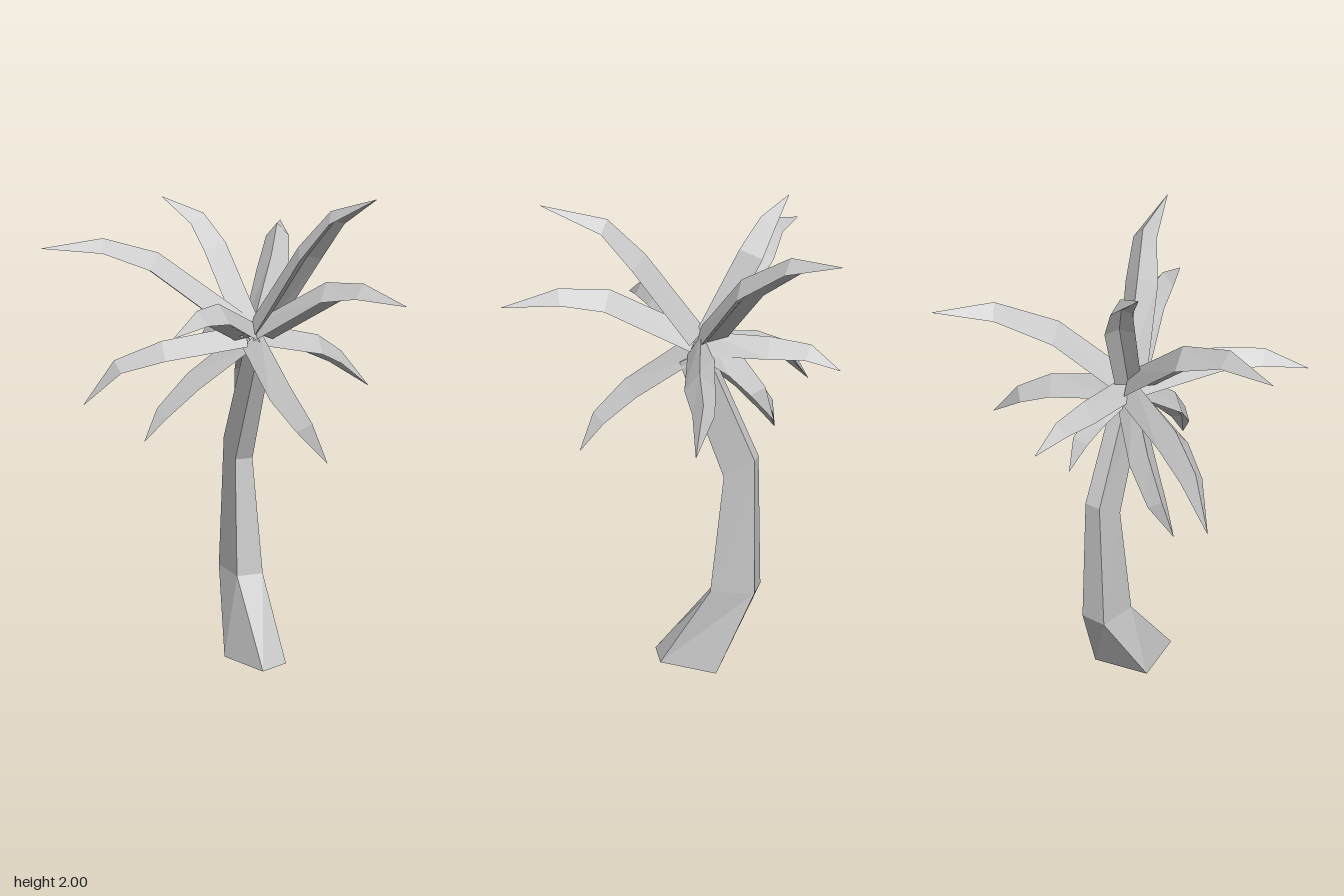
import * as THREE from 'three';

const material = new THREE.MeshStandardMaterial({ color: 0xcccccc, flatShading: true });

// Faceted skin through rings of points (counter-clockwise about the path), capped at both ends
function loft(rings) {
  const pos = [];
  const tri = (a, b, c) => pos.push(...a, ...b, ...c);
  const n = rings[0].length;
  for (let r = 0; r < rings.length - 1; r++) {
    const a = rings[r], b = rings[r + 1];
    for (let i = 0; i < n; i++) {
      const j = (i + 1) % n;
      tri(a[i], a[j], b[j]);
      tri(a[i], b[j], b[i]);
    }
  }
  const first = rings[0], last = rings[rings.length - 1];
  for (let i = 1; i < n - 1; i++) {
    tri(first[0], first[i + 1], first[i]);
    tri(last[0], last[i], last[i + 1]);
  }
  const geometry = new THREE.BufferGeometry();
  geometry.setAttribute('position', new THREE.Float32BufferAttribute(pos, 3));
  geometry.computeVertexNormals();
  return geometry;
}

// Frond: ridged section, hollowed below, from a broad root over two bends to a pointed tip
function frond(bends) {
  const path = bends.map(p => new THREE.Vector3(...p));
  path.unshift(new THREE.Vector3(0.11, 1.42, -0.05).lerp(path[0], 0.08));
  const chord = path[3].clone().sub(path[0]);
  const width = 0.02 + 0.06 * chord.length();
  const side = new THREE.Vector3(-chord.z, 0, chord.x).normalize();
  const halfWidths = [0.9, 1, 0.72, 0.01];
  const heights = [0.05, 0.046, 0.034, 0.001];
  const rings = path.map((p, i) => {
    const dir = path[Math.min(i + 1, 3)].clone().sub(path[Math.max(i - 1, 0)]).normalize();
    const up = side.clone().cross(dir).normalize();
    const at = (s, h) => p.clone().addScaledVector(side, s * width * halfWidths[i])
      .addScaledVector(up, h * heights[i]).toArray();
    return [at(0, -0.4), at(-1, -0.9), at(0, 0.9), at(1, -0.9)];
  });
  return loft(rings);
}

export function createModel() {
  const model = new THREE.Group();
  const add = (geometry, name, parent) => {
    const mesh = new THREE.Mesh(geometry, material);
    mesh.name = name;
    parent.add(mesh);
  };

  // Leaning four-sided trunk
  add(loft([
    [[0.05, 0, 0.17], [0.19, 0, 0.11], [0.24, 0, -0.15], [-0.01, 0, -0.09]],
    [[0.06, 0.35, -0.11], [0.185, 0.35, -0.11], [0.18, 0.36, -0.3], [0.06, 0.36, -0.3]],
    [[0.075, 0.86, -0.16], [0.158, 0.86, -0.16], [0.155, 0.94, -0.29], [0.08, 0.94, -0.29]],
    [[0.09, 1.34, 0.03], [0.155, 1.34, 0.03], [0.155, 1.4, -0.08], [0.09, 1.4, -0.08]],
  ]), 'trunk', model);

  // Two bends and the tip of each frond
  const fronds = [
    [[0.23, 1.77, 0.18], [0.30, 1.92, 0.3], [0.36, 2.0, 0.54]],
    [[0.28, 1.62, 0.3], [0.34, 1.635, 0.48], [0.41, 1.59, 0.7]],
    [[0.31, 1.7, -0.28], [0.44, 1.83, -0.49], [0.56, 1.86, -0.7]],
    [[0.45, 1.35, -0.13], [0.59, 1.28, -0.18], [0.75, 1.14, -0.19]],
    [[0.11, 1.21, 0.25], [0.15, 1.08, 0.38], [0.2, 0.94, 0.45]],
    [[-0.17, 1.54, 0.19], [-0.31, 1.54, 0.31], [-0.46, 1.48, 0.42]],
    [[-0.29, 1.73, -0.19], [-0.51, 1.8, -0.21], [-0.75, 1.79, -0.28]],
    [[-0.24, 1.35, -0.2], [-0.41, 1.28, -0.3], [-0.54, 1.11, -0.38]],
    [[-0.1, 1.21, -0.21], [-0.22, 1.07, -0.27], [-0.3, 0.95, -0.28]],
    [[0.02, 1.78, -0.22], [-0.04, 1.9, -0.28], [-0.18, 1.99, -0.35]],
    [[0.11, 1.42, -0.34], [0.11, 1.41, -0.5], [0.12, 1.34, -0.63]],
    [[0.15, 1.34, -0.22], [0.17, 1.25, -0.31], [0.17, 1.13, -0.37]],
  ];
  const crown = new THREE.Group();
  crown.name = 'crown';
  fronds.forEach((bends, i) => add(frond(bends), `frond${i + 1}`, crown));
  model.add(crown);

  return model;
}
